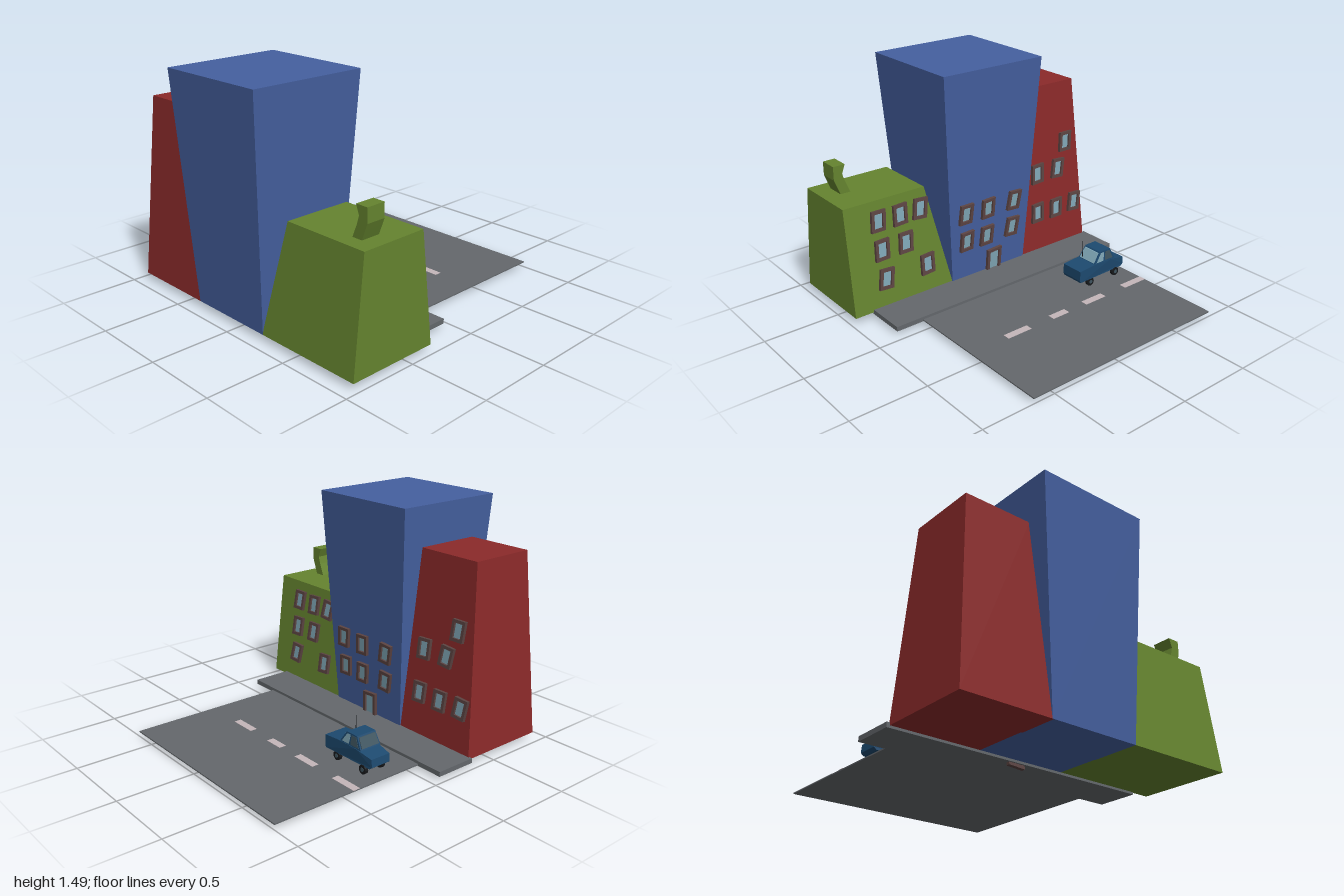
import * as THREE from 'three';

const mat = (color) => new THREE.MeshStandardMaterial({ color, flatShading: true });
const M = {
  red: mat(0x8b2a2a), blue: mat(0x4560a0), green: mat(0x65842f), grey: mat(0x64686c),
  line: mat(0xc4b6ba), frame: mat(0x5c4442), glass: mat(0x7fa6b5),
  car: mat(0x1d4a70), tyre: mat(0x17191c), darkGlass: mat(0x3f5560),
};

function mesh(name, geometry, material, parent) {
  const m = new THREE.Mesh(geometry, material);
  m.name = name;
  parent.add(m);
  return m;
}

// Tapered block; each end is [x0, x1, z0, z1]
function frustum(y0, bottom, y1, top) {
  const g = new THREE.BoxGeometry(1, 1, 1);
  const p = g.attributes.position;
  for (let i = 0; i < p.count; i++) {
    const up = p.getY(i) > 0, r = up ? top : bottom;
    p.setXYZ(i, r[p.getX(i) > 0 ? 1 : 0], up ? y1 : y0, r[p.getZ(i) > 0 ? 3 : 2]);
  }
  g.computeVertexNormals();
  return g;
}

const block = (x0, x1, y0, y1, z0, z1) => frustum(y0, [x0, x1, z0, z1], y1, [x0, x1, z0, z1]);

// Profile in x and y, extruded from z0 to z1
function extrudeXY(points, z0, z1) {
  const shape = new THREE.Shape(points.map(([x, y]) => new THREE.Vector2(x, y)));
  return new THREE.ExtrudeGeometry(shape, { depth: z1 - z0, bevelEnabled: false }).translate(0, 0, z0);
}

// Slightly crooked framed window, facing along the wall normal
function addWindow(parent, name, pos, normal, w, h, roll) {
  const g = new THREE.Group();
  g.name = name;
  const quad = (a, b) => [[-a, -b], [a, -b], [a, b], [-a, b]]
    .map(([x, y]) => new THREE.Vector2(x + y * 0.1, y));
  const outer = new THREE.Shape(quad(w / 2, h / 2));
  outer.holes.push(new THREE.Path(quad(w / 2 - 0.02, h / 2 - 0.02).reverse()));
  mesh('windowFrame', new THREE.ExtrudeGeometry(outer, { depth: 0.025, bevelEnabled: false }), M.frame, g)
    .position.z = -0.004;
  const pane = new THREE.Shape(quad(w / 2 - 0.018, h / 2 - 0.018));
  mesh('windowGlass', new THREE.ExtrudeGeometry(pane, { depth: 0.008, bevelEnabled: false }), M.glass, g);
  g.position.set(...pos);
  g.lookAt(new THREE.Vector3(...pos).add(new THREE.Vector3(...normal)));
  g.rotateZ(roll);
  parent.add(g);
}

function addBuilding(root, b) {
  const g = new THREE.Group();
  g.name = b.name;
  mesh('walls', frustum(0.04, b.bottom, b.height, b.top), b.material, g);
  const slope = (b.top[2] - b.bottom[2]) / (b.height - 0.04);
  b.windows.forEach(([x, y, w = 0.1, h = 0.135], i) => {
    const z = b.bottom[2] + slope * (y - 0.04);
    addWindow(g, 'window', [x, y, z], [0, slope, -1], w, h, 0.07 * Math.sin(i * 2.3));
  });
  root.add(g);
  return g;
}

function addCar(root) {
  const car = new THREE.Group();
  car.name = 'car';
  // Lower body, narrowing towards the tail
  const body = extrudeXY([[-0.76, 0.105], [-0.74, 0.09], [-0.36, 0.09], [-0.355, 0.105],
    [-0.355, 0.172], [-0.48, 0.182], [-0.63, 0.18], [-0.755, 0.155]], -0.29, -0.13);
  const p = body.attributes.position;
  for (let i = 0; i < p.count; i++) {
    const k = 1 - 0.14 * THREE.MathUtils.clamp((-0.63 - p.getX(i)) / 0.13, 0, 1);
    p.setZ(i, -0.21 + (p.getZ(i) + 0.21) * k);
  }
  body.computeVertexNormals();
  mesh('body', body, M.car, car);

  // Cabin with glass in all four sides
  mesh('cabin', frustum(0.178, [-0.67, -0.485, -0.287, -0.133], 0.257, [-0.63, -0.54, -0.28, -0.14]), M.car, car);
  const windscreen = (x, dir, name, material) => {
    const lean = dir > 0 ? 0.055 : 0.04;
    const s = 0.01 * dir;
    const at = (y) => x - dir * lean * (y - 0.178) / 0.079;
    const a = at(0.188), b = at(0.248);
    mesh(name, frustum(0.188, [a - 0.004 + s * 0.2, a + 0.004 + s * 0.2, -0.276, -0.144],
      0.248, [b - 0.004 + s * 0.2, b + 0.004 + s * 0.2, -0.272, -0.148]), material, car);
  };
  windscreen(-0.485, 1, 'windscreen', M.glass);
  windscreen(-0.67, -1, 'rearWindow', M.darkGlass);
  for (const s of [-1, 1]) {
    const z0 = -0.21 + s * 0.074, z1 = -0.21 + s * 0.069;
    const side = (a, b, c, d) => frustum(0.188, [a, b, z0 - 0.004, z0 + 0.004], 0.247, [c, d, z1 - 0.004, z1 + 0.004]);
    mesh('frontSideWindow', side(-0.565, -0.505, -0.575, -0.547), M.glass, car);
    mesh('rearSideWindow', side(-0.65, -0.58, -0.625, -0.585), M.darkGlass, car);
    for (const x of [-0.455, -0.685]) {
      const zw = -0.21 + s * 0.066;
      mesh('wheel', new THREE.CylinderGeometry(0.029, 0.029, 0.022, 12).rotateX(Math.PI / 2), M.tyre, car)
        .position.set(x, 0.068, zw);
      mesh('hubcap', new THREE.CylinderGeometry(0.013, 0.013, 0.004, 10).rotateX(Math.PI / 2), M.darkGlass, car)
        .position.set(x, 0.068, zw + s * 0.012);
    }
  }
  mesh('antenna', new THREE.CylinderGeometry(0.0015, 0.0025, 0.13, 5), M.tyre, car).position.set(-0.49, 0.245, -0.165);
  root.add(car);
}

export function createModel() {
  const root = new THREE.Group();
  root.name = 'streetScene';

  // Ground
  mesh('road', block(-0.8, 0.65, 0.03, 0.038, -1, 0.06), M.grey, root);
  mesh('pavement', block(-0.975, 0.84, 0.025, 0.056, 0.055, 0.33), M.grey, root);
  for (const [a, b] of [[-0.8, -0.61], [-0.43, -0.26], [-0.11, 0.02], [0.2, 0.38]])
    mesh('laneMarking', block(a, b, 0.036, 0.04, -0.453, -0.405), M.line, root);

  // Buildings; windows are [x, y, width, height]
  addBuilding(root, {
    name: 'redBuilding', material: M.red, height: 1.23,
    bottom: [-0.955, -0.36, 0.32, 0.92], top: [-0.875, -0.43, 0.4, 0.84],
    windows: [[-0.79, 0.8], [-0.53, 0.62], [-0.715, 0.62], [-0.52, 0.335], [-0.69, 0.33], [-0.86, 0.335]],
  });
  addBuilding(root, {
    name: 'blueBuilding', material: M.blue, height: 1.49,
    bottom: [-0.37, 0.235, 0.315, 0.92], top: [-0.45, 0.32, 0.23, 1],
    windows: [[0.14, 0.53], [-0.04, 0.525], [-0.26, 0.525], [0.13, 0.33], [-0.035, 0.325], [-0.25, 0.33],
      [-0.1, 0.105, 0.115, 0.2]],
  });
  const green = addBuilding(root, {
    name: 'greenBuilding', material: M.green, height: 0.75,
    bottom: [0.23, 0.97, 0.32, 0.92], top: [0.38, 0.965, 0.4, 0.84],
    windows: [[0.74, 0.62], [0.58, 0.62], [0.43, 0.62], [0.735, 0.43], [0.56, 0.43], [0.727, 0.235], [0.416, 0.24]],
  });
  for (const y of [0.44, 0.605])
    addWindow(green, 'sideWindow', [0.23 + 0.211 * (y - 0.04), y, 0.48], [-1, 0.211, 0], 0.1, 0.13, 0.03);

  // Crooked chimney
  mesh('chimney', extrudeXY([[0.78, 0.745], [0.85, 0.745], [0.875, 0.81], [0.89, 0.85], [0.89, 0.94],
    [0.808, 0.94], [0.83, 0.88], [0.815, 0.83]], 0.62, 0.745), M.green, green);

  addCar(root);
  return root;
}
